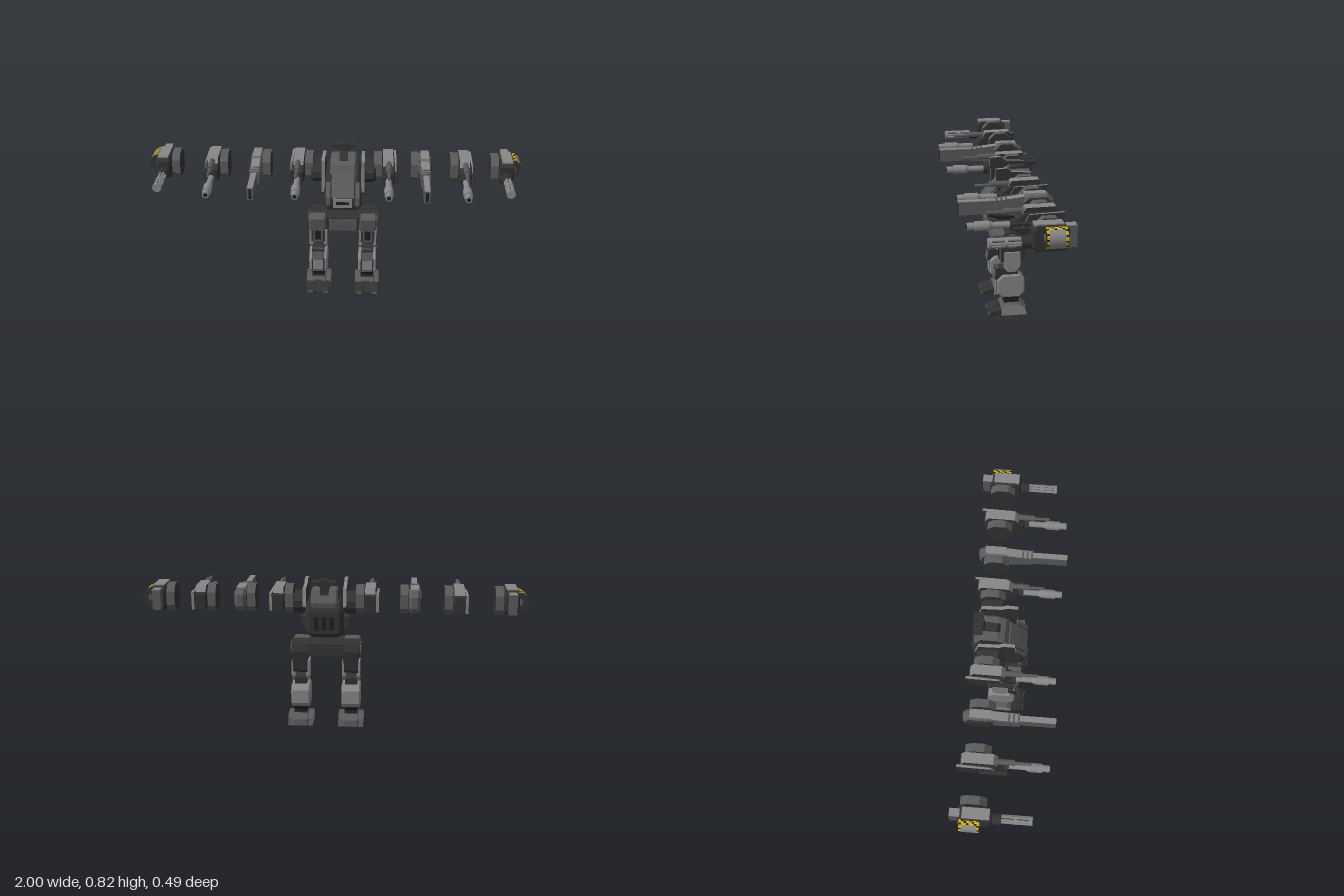
import * as THREE from 'three';

const C = 0.048; // centre line of the walker body
const mat = (name, color) => Object.assign(new THREE.MeshStandardMaterial({ color }), { name });

export function createModel() {
  const light = mat('lightGrey', 0x868686), mid = mat('midGrey', 0x5a5a5a), dark = mat('darkGrey', 0x323232);
  const black = mat('nearBlack', 0x1e1e1e), yellow = mat('hazardYellow', 0xd2ab12);
  const root = new THREE.Group();
  root.name = 'walker';

  const group = (name) => { const g = new THREE.Group(); g.name = name; root.add(g); return g; };
  const add = (g, name, geo, m) => { const o = new THREE.Mesh(geo, m); o.name = name; g.add(o); return o; };
  // box from ranges; x is centre and width
  const box = (g, name, m, x, w, z0, z1, y0, y1) =>
    add(g, name, new THREE.BoxGeometry(w, y1 - y0, z1 - z0), m).position.set(x, (y0 + y1) / 2, (z0 + z1) / 2);
  // side profile of [z, y] points extruded across x; m may be [flat sides, edge faces]
  const slab = (g, name, m, x, w, pts, b = 0) => {
    const geo = new THREE.ExtrudeGeometry(new THREE.Shape(pts.map((p) => new THREE.Vector2(...p))), {
      depth: w - 2 * b, bevelEnabled: b > 0, bevelSize: b, bevelThickness: b, bevelOffset: -b, bevelSegments: 1 });
    geo.translate(0, 0, b - w / 2).rotateY(-Math.PI / 2).translate(x, 0, 0);
    return add(g, name, geo, m);
  };
  const oct = (z0, z1, y0, y1, c) => [[z0 + c, y0], [z1 - c, y0], [z1, y0 + c], [z1, y1 - c],
    [z1 - c, y1], [z0 + c, y1], [z0, y1 - c], [z0, y0 + c]];
  // round part along z
  const rod = (g, name, m, x, y, z0, z1, r, rFront = r, sides = 12) =>
    add(g, name, new THREE.CylinderGeometry(rFront, r, z1 - z0, sides).rotateX(Math.PI / 2), m).position.set(x, y, (z0 + z1) / 2);

  // ---- torso ----
  const torso = group('torso');
  slab(torso, 'hull', dark, C, 0.2, [[-0.01, 0.51], [0.05, 0.528], [0.058, 0.56], [0.056, 0.6], [0.008, 0.663],
    [-0.03, 0.7], [-0.19, 0.7], [-0.215, 0.655], [-0.215, 0.54], [-0.147, 0.51]], 0.02);
  slab(torso, 'upperHull', [dark, mid], C, 0.14, [[-0.01, 0.67], [-0.05, 0.745], [-0.09, 0.765], [-0.18, 0.765], [-0.21, 0.7], [-0.2, 0.65]], 0.01);
  box(torso, 'waistRing', black, C, 0.14, -0.147, -0.01, 0.5, 0.515);
  slab(torso, 'canopy', [dark, mid], C, 0.12, [[0.05, 0.605], [0.064, 0.603], [0.018, 0.662], [-0.024, 0.71], [-0.04, 0.7]]);
  box(torso, 'chestPlate', light, C, 0.1, 0.04, 0.062, 0.545, 0.597);
  box(torso, 'chestSlot', black, C, 0.07, 0.06, 0.065, 0.565, 0.58);
  box(torso, 'backpack', dark, C, 0.13, -0.225, -0.19, 0.54, 0.65);
  for (const k of [-1, 0, 1]) box(torso, 'backVent', black, C + k * 0.04, 0.025, -0.229, -0.224, 0.56, 0.63);
  for (const s of [-1, 1]) {
    box(torso, 'sidePod', dark, C + s * 0.11, 0.036, -0.15, -0.08, 0.555, 0.61);
    slab(torso, 'cheekPlate', [dark, mid], C + s * 0.078, 0.022, [[0.045, 0.53], [0.062, 0.56], [0.06, 0.605], [0.01, 0.67], [-0.02, 0.66], [0.02, 0.56]]);
    slab(torso, 'collarFin', [dark, light], C + s * 0.105, 0.018, [[0.005, 0.61], [0.008, 0.795], [-0.05, 0.798], [-0.075, 0.778],
      [-0.18, 0.77], [-0.2, 0.68], [-0.09, 0.61]]);
    slab(torso, 'shoulder', dark, C + s * 0.135, 0.08, oct(-0.19, -0.04, 0.635, 0.74, 0.035), 0.012);
  }

  // ---- sensor head ----
  const head = group('sensorHead');
  slab(head, 'neck', dark, C, 0.045, [[-0.06, 0.74], [-0.09, 0.775], [-0.155, 0.78], [-0.16, 0.82], [-0.2, 0.82], [-0.2, 0.74]]);
  const crest = new THREE.Shape([[-0.062, 0.812], [-0.06, 0.8], [-0.02, 0.785], [0.02, 0.785], [0.06, 0.8],
    [0.062, 0.812], [0.02, 0.815], [0.012, 0.823], [-0.012, 0.823], [-0.02, 0.815]].map((p) => new THREE.Vector2(...p)));
  add(head, 'crest', new THREE.ExtrudeGeometry(crest, { depth: 0.05, bevelEnabled: false }), dark).position.set(C, 0, -0.213);

  // ---- pelvis ----
  const pelvis = group('pelvis');
  slab(pelvis, 'hipBeam', dark, C, 0.2, [[0.02, 0.39], [0.025, 0.462], [-0.15, 0.462], [-0.155, 0.4], [-0.09, 0.385]]);
  box(pelvis, 'rearBlock', dark, C, 0.08, -0.162, -0.14, 0.415, 0.448);
  slab(pelvis, 'frontApron', mid, C, 0.15, [[0.02, 0.388], [0.028, 0.388], [0.034, 0.455], [0.02, 0.455]]);

  // ---- legs ----
  for (const s of [-1, 1]) {
    const leg = group(s < 0 ? 'rightLeg' : 'leftLeg'), x = C + s * 0.136;
    slab(leg, 'hipArmor', mid, x, 0.092, [[0.03, 0.385], [0.042, 0.462], [-0.03, 0.465], [-0.03, 0.385]], 0.008);
    slab(leg, 'hipBlock', dark, x, 0.08, [[-0.02, 0.385], [-0.02, 0.46], [-0.14, 0.46], [-0.155, 0.42], [-0.145, 0.36], [-0.02, 0.36]]);
    add(leg, 'hipJoint', new THREE.CylinderGeometry(0.049, 0.049, 0.096, 20).rotateZ(Math.PI / 2), dark).position.set(x, 0.42, -0.068);
    add(leg, 'hipCap', new THREE.CylinderGeometry(0.04, 0.04, 0.106, 20).rotateZ(Math.PI / 2), mid).position.set(x, 0.42, -0.068);
    // the thigh ends above the knee, leaving a gap between its side plates
    slab(leg, 'thigh', dark, x, 0.074, [[-0.012, 0.39], [-0.012, 0.295], [-0.112, 0.295], [-0.14, 0.315], [-0.145, 0.39]]);
    box(leg, 'thighPanel', mid, x, 0.05, -0.015, -0.006, 0.3, 0.375);
    box(leg, 'thighInset', black, x, 0.034, -0.01, -0.003, 0.31, 0.368);
    for (const t of [-1, 1]) slab(leg, 'thighSidePlate', light, x + t * 0.039, 0.018, [[-0.025, 0.355], [-0.025, 0.27], [-0.045, 0.245],
      [-0.09, 0.245], [-0.112, 0.275], [-0.112, 0.355]]);
    slab(leg, 'knee', dark, x, 0.066, [[0.015, 0.262], [0.024, 0.2], [-0.1, 0.2], [-0.105, 0.26]]);
    slab(leg, 'kneePlate', mid, x, 0.064, [[0.013, 0.265], [0.027, 0.203], [0.006, 0.198], [-0.004, 0.26]]);
    slab(leg, 'shin', light, x, 0.1, oct(-0.137, 0.01, 0.098, 0.225, 0.028), 0.006);
    box(leg, 'shinSeam', dark, x, 0.07, 0, 0.0115, 0.122, 0.2);
    box(leg, 'shinPanel', light, x, 0.056, 0, 0.014, 0.128, 0.195);
    slab(leg, 'ankle', black, x, 0.07, [[-0.018, 0.1], [-0.032, 0.078], [-0.022, 0.055], [-0.115, 0.055], [-0.105, 0.078], [-0.118, 0.1]]);
    slab(leg, 'foot', mid, x, 0.096, [[-0.005, 0], [-0.008, 0.04], [-0.025, 0.063], [-0.115, 0.063], [-0.148, 0.035], [-0.15, 0]], 0.012);
    for (const t of [-1, 1]) {
      slab(leg, 'footSide', [light, mid], x + t * 0.054, 0.026, [[-0.008, 0], [-0.01, 0.04], [-0.035, 0.058], [-0.11, 0.058], [-0.135, 0.04], [-0.148, 0]]);
      slab(leg, 'toe', dark, x + t * 0.043, 0.046, [[0.058, 0], [0.058, 0.015], [0.04, 0.028], [-0.01, 0.04], [-0.02, 0]], 0.004);
      box(leg, 'toeCap', mid, x + t * 0.043, 0.03, 0.05, 0.061, 0.003, 0.015);
    }
    slab(leg, 'middleToe', dark, x, 0.04, [[0.065, 0], [0.065, 0.016], [0.045, 0.026], [-0.01, 0.045], [-0.02, 0]]);
  }

  // ---- weapons; x is the barrel line, s points outward ----
  const mount = (g, x, s, d) => {
    slab(g, 'mountPlate', [dark, mid], x + s * -(d + 0.0215), 0.043, oct(-0.195, -0.065, 0.64, 0.78, 0.034));
    box(g, 'mountLink', black, x - s * d, 0.03, -0.16, -0.09, 0.67, 0.75);
  };

  const cannon = (x, s) => {
    const g = group('cannonPod');
    mount(g, x, s, 0.036);
    slab(g, 'housing', dark, x, 0.066, [[0, 0.665], [0, 0.725], [-0.04, 0.755], [-0.2, 0.755], [-0.215, 0.74], [-0.215, 0.66], [-0.04, 0.65]], 0.006);
    slab(g, 'topCover', [dark, light], x - s * 0.004, 0.054, [[-0.03, 0.75], [-0.05, 0.778], [-0.19, 0.78], [-0.21, 0.75]]);
    slab(g, 'outerPlate', [dark, light], x + s * 0.034, 0.014, [[-0.03, 0.69], [-0.06, 0.75], [-0.23, 0.755], [-0.225, 0.66], [-0.06, 0.66]]);
    for (const y of [0.684, 0.708]) rod(g, 'sideTube', dark, x + s * 0.042, y, -0.12, 0.02, 0.009, 0.009, 8);
    rod(g, 'barrelCollar', dark, x, 0.693, -0.02, 0.025, 0.028);
    rod(g, 'barrel', light, x, 0.693, 0, 0.13, 0.016);
    rod(g, 'muzzleTaper', light, x, 0.693, 0.105, 0.125, 0.016, 0.024);
    rod(g, 'muzzleBrake', light, x, 0.693, 0.125, 0.19, 0.024);
    rod(g, 'muzzle', light, x, 0.693, 0.19, 0.228, 0.018);
    rod(g, 'muzzleBore', black, x, 0.693, 0.226, 0.23, 0.011);
    rod(g, 'upperGunBody', mid, x, 0.76, -0.06, 0.055, 0.015, 0.015, 8);
    rod(g, 'upperGunBarrel', mid, x, 0.756, 0.05, 0.135, 0.008, 0.008, 8);
  };

  const railGun = (x, s) => {
    const g = group('railGun');
    mount(g, x, s, 0.033);
    slab(g, 'housing', [dark, mid], x, 0.062, oct(-0.225, -0.065, 0.65, 0.77, 0.03), 0.016);
    box(g, 'topCover', light, x, 0.044, -0.19, -0.08, 0.76, 0.775);
    slab(g, 'outerPlate', dark, x + s * 0.03, 0.016, oct(-0.19, -0.075, 0.67, 0.75, 0.02), 0.003);
    slab(g, 'breech', [mid, light], x, 0.046, [[0.06, 0.68], [0.06, 0.745], [-0.08, 0.76], [-0.08, 0.66]]);
    for (let i = 0; i < 5; i++) box(g, 'coolingRib', mid, x, 0.05, -0.045 + i * 0.024, -0.035 + i * 0.024, 0.675, 0.752);
    box(g, 'barrel', mid, x, 0.032, 0.05, 0.243, 0.677, 0.743);
    box(g, 'barrelTop', light, x, 0.03, 0.06, 0.243, 0.742, 0.746);
    box(g, 'bore', black, x, 0.014, 0.24, 0.245, 0.685, 0.737);
  };

  const rotaryGun = (x, s) => {
    const g = group('rotaryGun');
    mount(g, x, s, 0.042);
    slab(g, 'housing', dark, x, 0.074, oct(-0.205, -0.035, 0.65, 0.775, 0.022), 0.008);
    box(g, 'rearBox', mid, x, 0.042, -0.243, -0.19, 0.66, 0.763);
    box(g, 'rearBoxTop', light, x, 0.04, -0.242, -0.19, 0.762, 0.767);
    box(g, 'topRidge', light, x, 0.056, -0.18, -0.045, 0.77, 0.78);
    rod(g, 'rotorHousing', dark, x, 0.69, -0.045, 0.01, 0.03);
    for (let i = 0; i < 6; i++) {
      const a = (i * Math.PI) / 3;
      rod(g, 'gunBarrel', light, x + Math.cos(a) * 0.016, 0.693 + Math.sin(a) * 0.016, 0, 0.162, 0.007, 0.007, 8);
    }
    rod(g, 'spindle', black, x, 0.693, 0, 0.15, 0.009, 0.009, 8);
    for (const z of [0.072, 0.145]) rod(g, 'barrelClamp', light, x, 0.693, z, z + 0.014, 0.024);
    // ammunition drum, hazard chequers on the rims and along top and bottom
    const rad = 36, rows = 8, drum = new THREE.CylinderGeometry(0.052, 0.052, 0.098, rad, rows, true).rotateX(Math.PI / 2);
    drum.clearGroups();
    for (let j = 0; j < rad; j++) for (let i = 0; i < rows; i++) {
      const side = Math.abs(Math.sin(((j + 0.5) / rad) * Math.PI * 2));
      const rim = i === 0 || i === rows - 1 || side < 0.55;
      drum.addGroup((j * rows + i) * 6, 6, rim ? ((i + j) % 3 === 0 ? 2 : 1) : 0);
    }
    const dx = s * 0.948;
    add(g, 'ammoDrum', drum, [light, yellow, black]).position.set(dx, 0.717, -0.142);
    rod(g, 'drumCaps', dark, dx, 0.717, -0.1915, -0.0925, 0.0515, 0.0515, 36);
    rod(g, 'drumHub', mid, dx, 0.717, -0.197, -0.087, 0.022);
  };

  for (const s of [-1, 1]) {
    cannon(C + s * 0.242, s);
    railGun(0.032 + s * 0.452, s);
    cannon(0.022 + s * 0.674, s);
    rotaryGun(s * 0.918, s);
  }
  return root;
}
